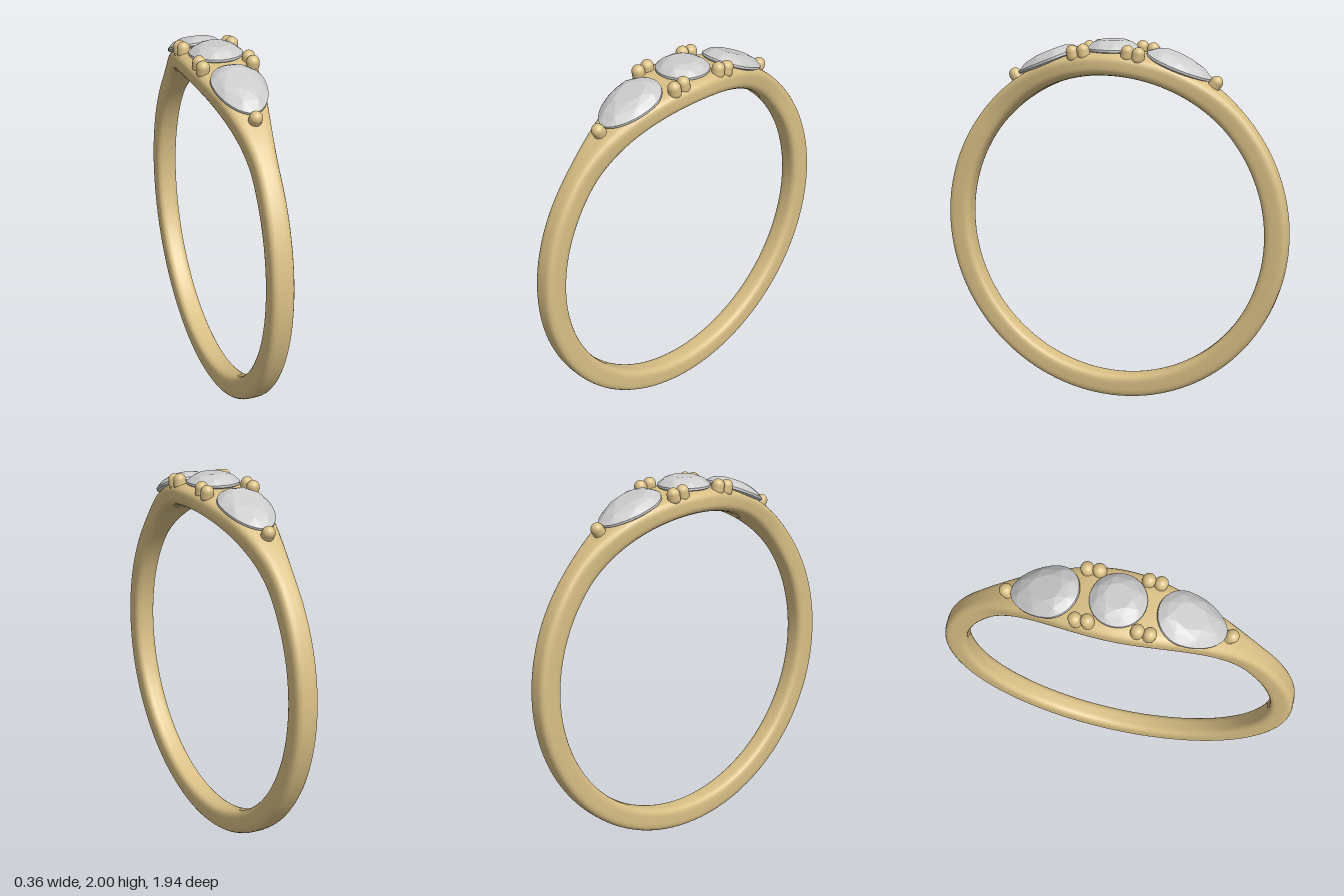
import * as THREE from 'three';
import { ConvexGeometry } from 'three/addons/geometries/ConvexGeometry.js';

const CENTRE_Y = 0.975, MID_RADIUS = 0.907, HALF_DEPTH = 0.063;

// Places a part on the ring: angle from the top toward +z, its own y pointing outward
function place(mesh, angle, radius, x = 0) {
  mesh.position.set(x, CENTRE_Y + radius * Math.cos(angle), radius * Math.sin(angle));
  mesh.rotation.x = angle;
  return mesh;
}

// Rounded-rectangle section swept round a circle, widening toward the top
function bandGeometry(steps = 144, sides = 40) {
  const pos = [], index = [];
  for (let i = 0; i < steps; i++) {
    const u = (i / steps) * Math.PI * 2;
    const fromTop = Math.min(u, Math.PI * 2 - u);
    const halfWidth = 0.18 - 0.12 * THREE.MathUtils.smoothstep(fromTop, 0, 0.91);
    for (let j = 0; j < sides; j++) {
      const v = (j / sides) * Math.PI * 2, c = Math.cos(v), s = Math.sin(v);
      const k = Math.pow(c ** 4 + s ** 4, -0.25);
      const r = MID_RADIUS + HALF_DEPTH * k * s;
      pos.push(halfWidth * k * c, CENTRE_Y + r * Math.cos(u), r * Math.sin(u));
      const i2 = (i + 1) % steps, j2 = (j + 1) % sides;
      const a = i * sides + j, b = i * sides + j2, d = i2 * sides + j, e = i2 * sides + j2;
      index.push(a, b, d, b, e, d);
    }
  }
  const g = new THREE.BufferGeometry();
  g.setAttribute('position', new THREE.Float32BufferAttribute(pos, 3));
  g.setIndex(index);
  g.computeVertexNormals();
  return g;
}

// Faceted gem: rings of [scale, height, points, turn] around an outline that
// reaches `tip` along one z direction and `round` along the other
function gemGeometry(round, tip, dir, shift) {
  const rings = [
    [0.5, 0.05, 8, 0], [0.79, 0.034, 8, 0.5],
    [1, 0.006, 32, 0], [1, -0.006, 32, 0], [0.55, -0.045, 8, 0.5], [0.1, -0.08, 8, 0],
  ];
  const points = [];
  for (const [scale, y, n, turn] of rings) {
    for (let i = 0; i < n; i++) {
      const a = ((i + turn) / n) * Math.PI * 2, c = Math.cos(a);
      const taper = c > 0 ? 1 - (tip - round) * c * c : 1;
      const x = 0.14 * Math.sin(a) * taper;
      const z = c * (c > 0 ? tip : round);
      points.push(new THREE.Vector3(x * scale, y, dir * (z * scale + shift)));
    }
  }
  return new ConvexGeometry(points);
}

export function createModel() {
  const group = new THREE.Group();
  const gold = new THREE.MeshStandardMaterial({ color: 0xd9bf85 });
  const stone = new THREE.MeshStandardMaterial({ color: 0xcccccc, flatShading: true });
  const add = (name, geometry, material) => {
    const mesh = new THREE.Mesh(geometry, material);
    mesh.name = name;
    group.add(mesh);
    return mesh;
  };

  add('band', bandGeometry(), gold);

  // Round centre stone
  place(add('centreStone', gemGeometry(0.14, 0.14, 1, 0), stone), 0, 0.975);

  // Short prong with a domed head
  const prong = new THREE.CapsuleGeometry(0.034, 0.025, 8, 20);
  prong.translate(0, -0.0125, 0);

  for (const dir of [1, -1]) {
    const side = dir > 0 ? 'front' : 'back';
    // Pear stone with its tip pointing down the shoulder
    place(add(side + 'PearStone', gemGeometry(0.14, 0.23, dir, -0.04), stone), dir * 0.38, 0.97);
    place(add(side + 'TipProng', prong, gold), dir * 0.603, 0.996);
    // Pairs of prongs between the stones
    for (const x of [0.134, -0.134]) {
      for (const angle of [0.124, 0.186]) {
        place(add(side + 'SideProng', prong, gold), dir * angle, 0.985, x);
      }
    }
  }
  return group;
}
